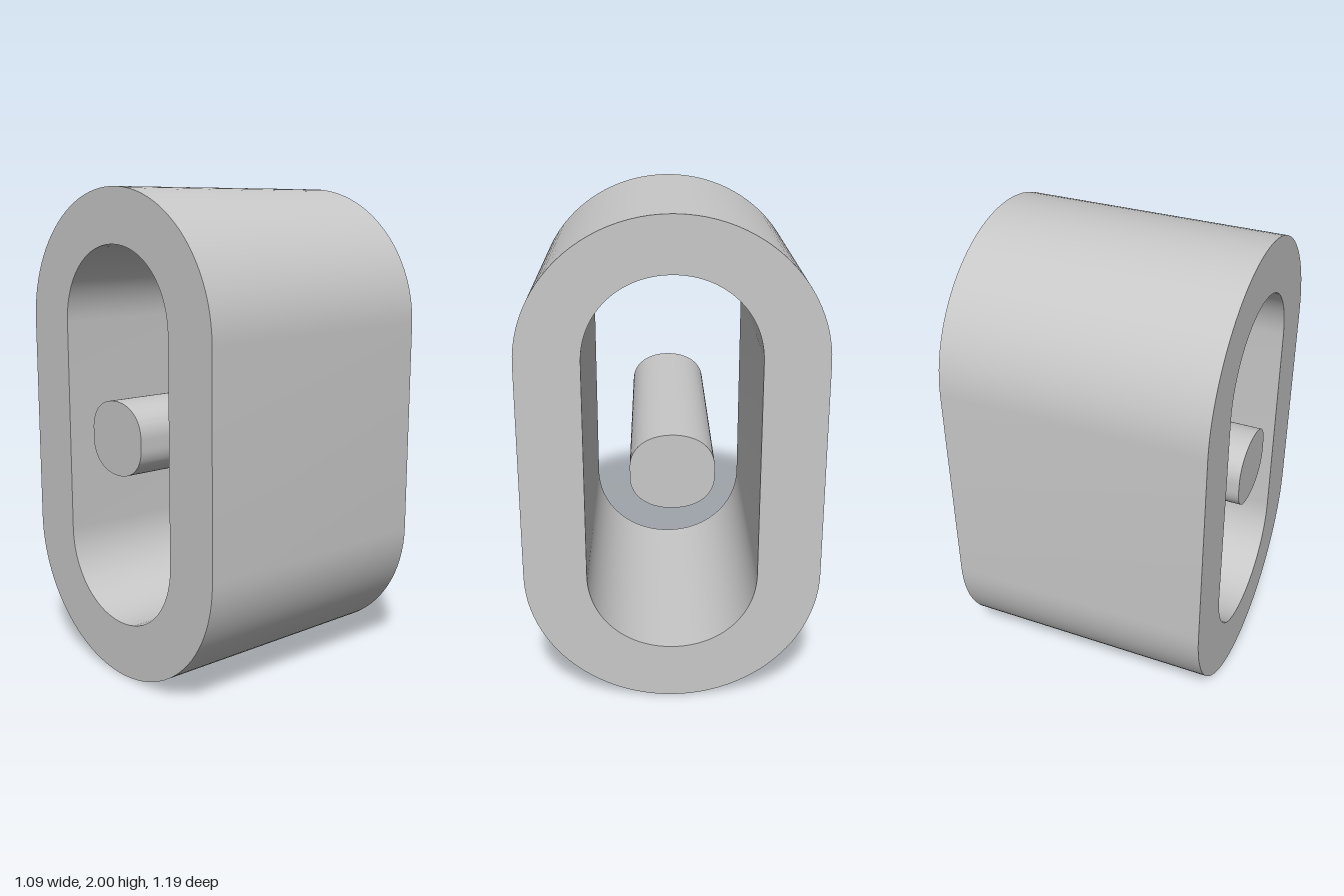
import * as THREE from 'three';
import { toCreasedNormals } from 'three/addons/utils/BufferGeometryUtils.js';

const LENGTH = 1.09;

// Rounded outline: half width w, from bottom to top, straight sides between s0 and s1.
// k sets how full the corner curves are (0.55 is an ellipse).
function outline(path, w, bottom, s0, s1, top, k) {
  const b = s0 - bottom, t = top - s1;
  path.moveTo(w, s0);
  path.lineTo(w, s1);
  path.bezierCurveTo(w, s1 + k * t, k * w, top, 0, top);
  path.bezierCurveTo(-k * w, top, -w, s1 + k * t, -w, s1);
  path.lineTo(-w, s0);
  path.bezierCurveTo(-w, s0 - k * b, -k * w, bottom, 0, bottom);
  path.bezierCurveTo(k * w, bottom, w, s0 - k * b, w, s0);
  return path;
}

// Extrudes a side profile along x, keeping the end edges sharp.
function extrudeAlongX(shape, name, material) {
  const geometry = new THREE.ExtrudeGeometry(shape, { depth: LENGTH, bevelEnabled: false, curveSegments: 24 });
  geometry.translate(0, 0, -LENGTH / 2);
  geometry.rotateY(Math.PI / 2);
  const mesh = new THREE.Mesh(toCreasedNormals(geometry, 0.6), material);
  mesh.name = name;
  return mesh;
}

export function createModel() {
  const model = new THREE.Group();
  model.name = 'sleeveWithPin';
  const grey = new THREE.MeshStandardMaterial({ color: 0xc8c8c8 });
  grey.name = 'light grey';

  // Hollow outer sleeve, open at both ends
  const sleeve = outline(new THREE.Shape(), 0.595, 0, 0.56, 1.44, 2, 0.55);
  sleeve.holes.push(outline(new THREE.Path(), 0.342, 0.23, 0.56, 1.45, 1.78, 0.57));
  model.add(extrudeAlongX(sleeve, 'sleeve', grey));

  // Free-standing pin through the middle, flush with the sleeve ends
  const pin = outline(new THREE.Shape(), 0.164, 0.858, 0.99, 1.03, 1.162, 0.6);
  model.add(extrudeAlongX(pin, 'pin', grey));

  return model;
}
